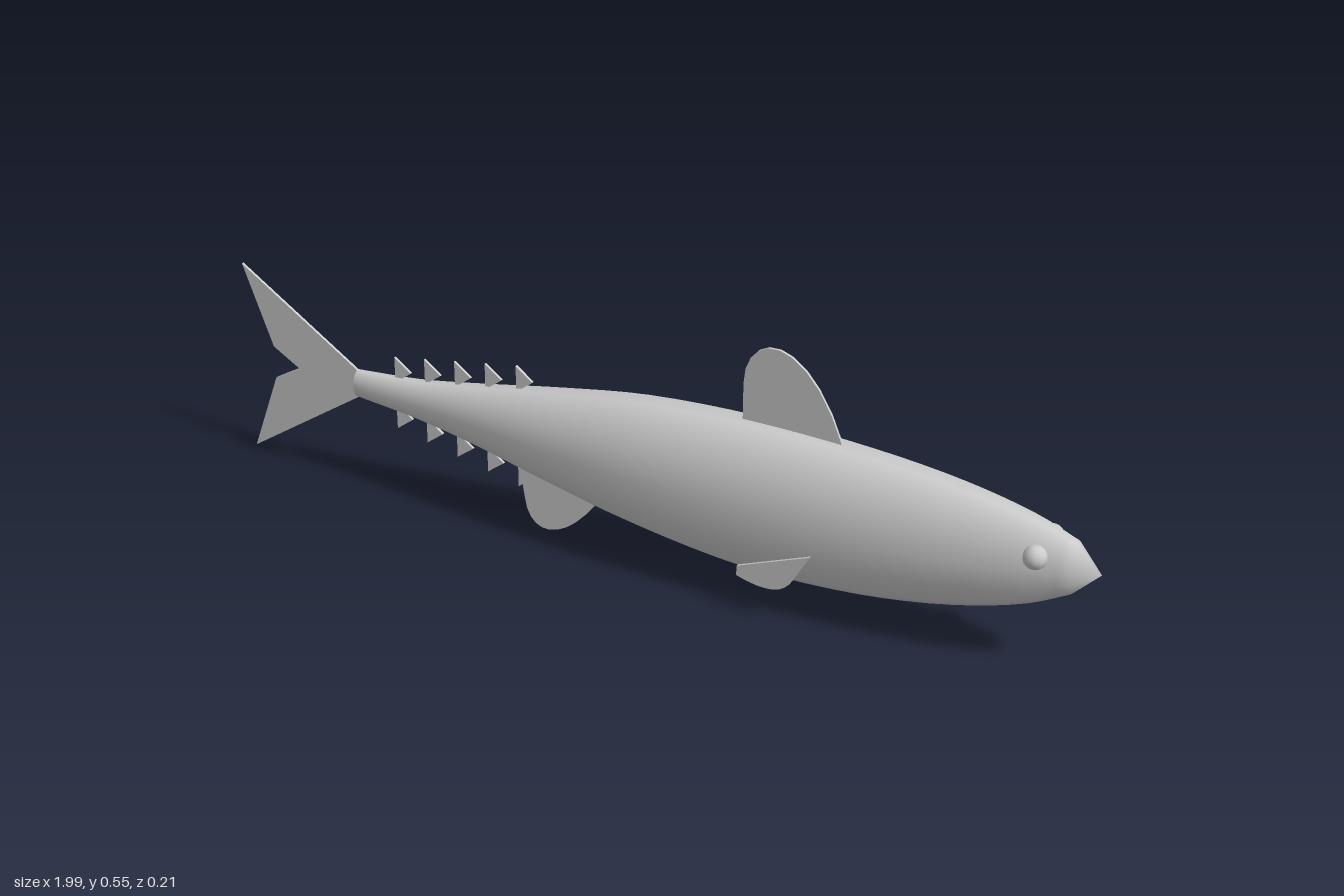
import * as THREE from 'three';

const grey = new THREE.MeshStandardMaterial({ color: 0xcccccc });
const SIDES = 14;

// Body stations: x, top y, bottom y, half width
const STATIONS = [
  [-0.71, 0.275, 0.212, 0.02], [-0.55, 0.288, 0.196, 0.032], [-0.4, 0.312, 0.172, 0.05],
  [-0.2, 0.348, 0.128, 0.075], [0, 0.378, 0.088, 0.094], [0.25, 0.39, 0.06, 0.102],
  [0.5, 0.382, 0.068, 0.096], [0.7, 0.362, 0.1, 0.079], [0.85, 0.332, 0.145, 0.056],
  [0.935, 0.302, 0.188, 0.036],
];

// Smooth body skin lofted from elliptical rings, closed to a pointed snout
function bodyGeometry() {
  const sizes = new THREE.CatmullRomCurve3(STATIONS.map(([x, t, b]) => new THREE.Vector3(x, t, b)));
  const widths = new THREE.CatmullRomCurve3(STATIONS.map(([x, , , w]) => new THREE.Vector3(x, w, 0)));
  const pos = [], index = [], rings = 36;
  for (let i = 0; i <= rings; i++) {
    const p = sizes.getPoint(i / rings), w = widths.getPoint(i / rings).y;
    const mid = (p.y + p.z) / 2, ry = (p.y - p.z) / 2 / Math.sin((Math.PI * 3) / 7);
    for (let j = 0; j < SIDES; j++) {
      const a = (j / SIDES) * Math.PI * 2;
      pos.push(p.x, mid + ry * Math.sin(a), w * Math.cos(a));
    }
  }
  const tip = pos.length / 3;
  pos.push(0.99, 0.242, 0);
  for (let i = 0; i <= rings; i++) {
    for (let j = 0; j < SIDES; j++) {
      const k = (j + 1) % SIDES, a = i * SIDES + j, b = i * SIDES + k;
      if (i === rings) index.push(a, tip, b);
      else index.push(a, a + SIDES, b, b, a + SIDES, b + SIDES);
    }
  }
  const g = new THREE.BufferGeometry();
  g.setAttribute('position', new THREE.Float32BufferAttribute(pos, 3));
  g.setIndex(index);
  g.computeVertexNormals();
  return g;
}

export function createModel() {
  const model = new THREE.Group();
  const add = (name, geometry) => {
    const mesh = new THREE.Mesh(geometry, grey);
    mesh.name = name;
    model.add(mesh);
    return mesh;
  };
  // Thin flat plate from an outline in x and y
  const plate = (name, shape, z = 0) => {
    const depth = 0.006;
    const g = new THREE.ExtrudeGeometry(shape, { depth, bevelEnabled: false, curveSegments: 10 });
    return add(name, g.translate(0, 0, z - depth / 2));
  };
  const outline = (points) => new THREE.Shape(points.map(([x, y]) => new THREE.Vector2(x, y)));

  add('body', bodyGeometry());

  // Flat end of the tail stalk
  const cap = add('tailStalkEnd', new THREE.CircleGeometry(1, SIDES));
  cap.rotation.y = -Math.PI / 2;
  cap.scale.set(0.02, 0.0323, 1);
  cap.position.set(-0.71, 0.2435, 0);

  plate('tailFin', outline([
    [-0.66, 0.243], [-1, 0.468], [-0.93, 0.282], [-0.865, 0.243], [-0.93, 0.205], [-1, 0.018],
  ]));

  const dorsal = new THREE.Shape();
  dorsal.moveTo(0.225, 0.37);
  dorsal.lineTo(0.225, 0.47);
  dorsal.bezierCurveTo(0.225, 0.59, 0.36, 0.62, 0.445, 0.38);
  plate('dorsalFin', dorsal);

  const anal = new THREE.Shape();
  anal.moveTo(-0.3, 0.14);
  anal.lineTo(-0.29, 0.07);
  anal.bezierCurveTo(-0.28, -0.02, -0.2, -0.02, -0.115, 0.1);
  anal.lineTo(-0.12, 0.14);
  plate('analFin', anal);

  // Rows of small triangular finlets above and below the tail stalk
  for (let i = 0; i < 5; i++) {
    const x = -0.61 + i * 0.0763;
    const top = 0.33 + i * 0.013, bottom = 0.158 - i * 0.016;
    plate('upperFinlet', outline([[x, top - 0.06], [x + 0.04, top - 0.03], [x, top]]));
    plate('lowerFinlet', outline([[x, bottom + 0.06], [x + 0.04, bottom + 0.03], [x, bottom]]));
  }

  // Mirrored pectoral fins and eyes
  for (const side of [1, -1]) {
    const pectoral = new THREE.Shape();
    pectoral.moveTo(0.268, 0.114);
    pectoral.lineTo(0.428, 0.178);
    pectoral.lineTo(0.393, 0.115);
    pectoral.bezierCurveTo(0.37, 0.07, 0.32, 0.075, 0.268, 0.092);
    plate('pectoralFin', pectoral, side * 0.104);

    const eye = add('eye', new THREE.SphereGeometry(0.025, 10, 8));
    eye.position.set(0.87, 0.273, side * 0.046);
  }
  return model;
}
